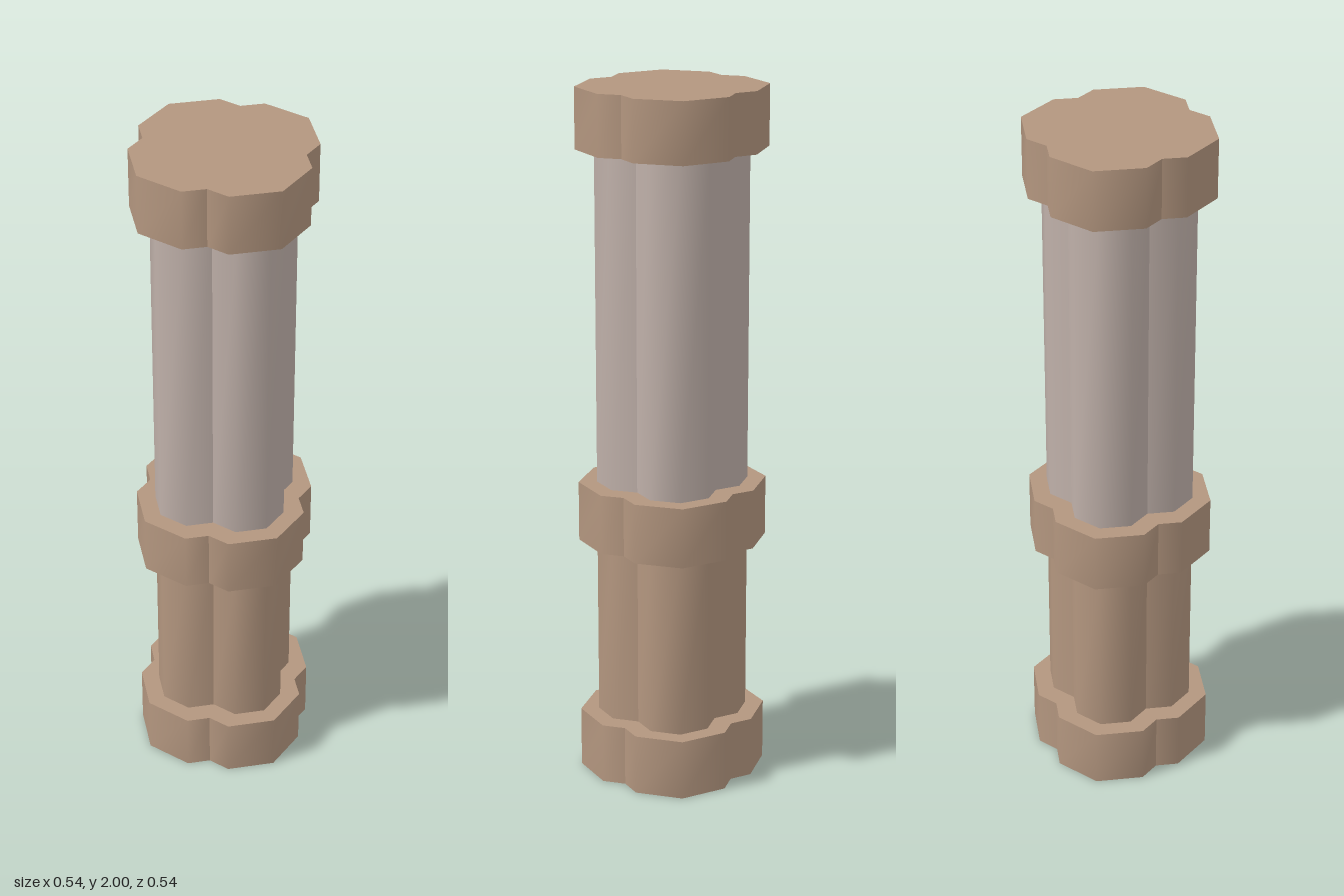
import * as THREE from 'three';

const brown = new THREE.MeshStandardMaterial({ color: 0xb3967f });
brown.name = 'brown';
const paleGrey = new THREE.MeshStandardMaterial({ color: 0xbfb0a9 });
paleGrey.name = 'paleGrey';

// Outline of one lobe (half an octagon, trimmed where it meets its neighbours)
function lobeOutline(offset, radius, turn) {
  const d = radius * Math.SQRT1_2;
  const k = Math.SQRT1_2 * radius + (1 - Math.SQRT1_2) * offset; // meeting point on the diagonal
  const points = [[k, -k], [offset + d, -d], [offset + radius, 0], [offset + d, d], [k, k]];
  const c = Math.cos(turn), s = Math.sin(turn);
  return points.map(([x, z]) => [x * c - z * s, x * s + z * c]);
}

// Closed four-lobed prism: each lobe is smooth, with creases between lobes
function lobedPrism(offset, radius, y0, y1) {
  const positions = [], index = [];
  const add = (x, y, z) => positions.push(x, y, z) / 3 - 1;
  for (let lobe = 0; lobe < 4; lobe++) {
    const outline = lobeOutline(offset, radius, lobe * Math.PI / 2);
    const ring = (y) => outline.map(([x, z]) => add(x, y, z));
    const low = ring(y0), high = ring(y1);
    const base = ring(y0), lid = ring(y1);
    const baseCentre = add(0, y0, 0), lidCentre = add(0, y1, 0);
    for (let i = 0; i < outline.length - 1; i++) {
      index.push(low[i], high[i], low[i + 1], high[i], high[i + 1], low[i + 1]);
      index.push(lidCentre, lid[i + 1], lid[i], baseCentre, base[i], base[i + 1]);
    }
  }
  const geometry = new THREE.BufferGeometry();
  geometry.setAttribute('position', new THREE.Float32BufferAttribute(positions, 3));
  geometry.setIndex(index);
  geometry.computeVertexNormals();
  return geometry;
}

export function createModel() {
  const column = new THREE.Group();
  column.name = 'column';
  const collar = [0.087, 0.181], shaft = [0.1, 0.1155]; // lobe offset, lobe radius

  // Parts from the ground up
  const parts = [
    ['base', collar, 0, 0.175, brown],
    ['lowerShaft', shaft, 0.175, 0.7, brown],
    ['middleCollar', collar, 0.7, 0.873, brown],
    ['upperShaft', shaft, 0.873, 1.828, paleGrey],
    ['capital', collar, 1.828, 2, brown],
  ];
  for (const [name, [offset, radius], y0, y1, material] of parts) {
    const mesh = new THREE.Mesh(lobedPrism(offset, radius, y0, y1), material);
    mesh.name = name;
    column.add(mesh);
  }
  return column;
}
